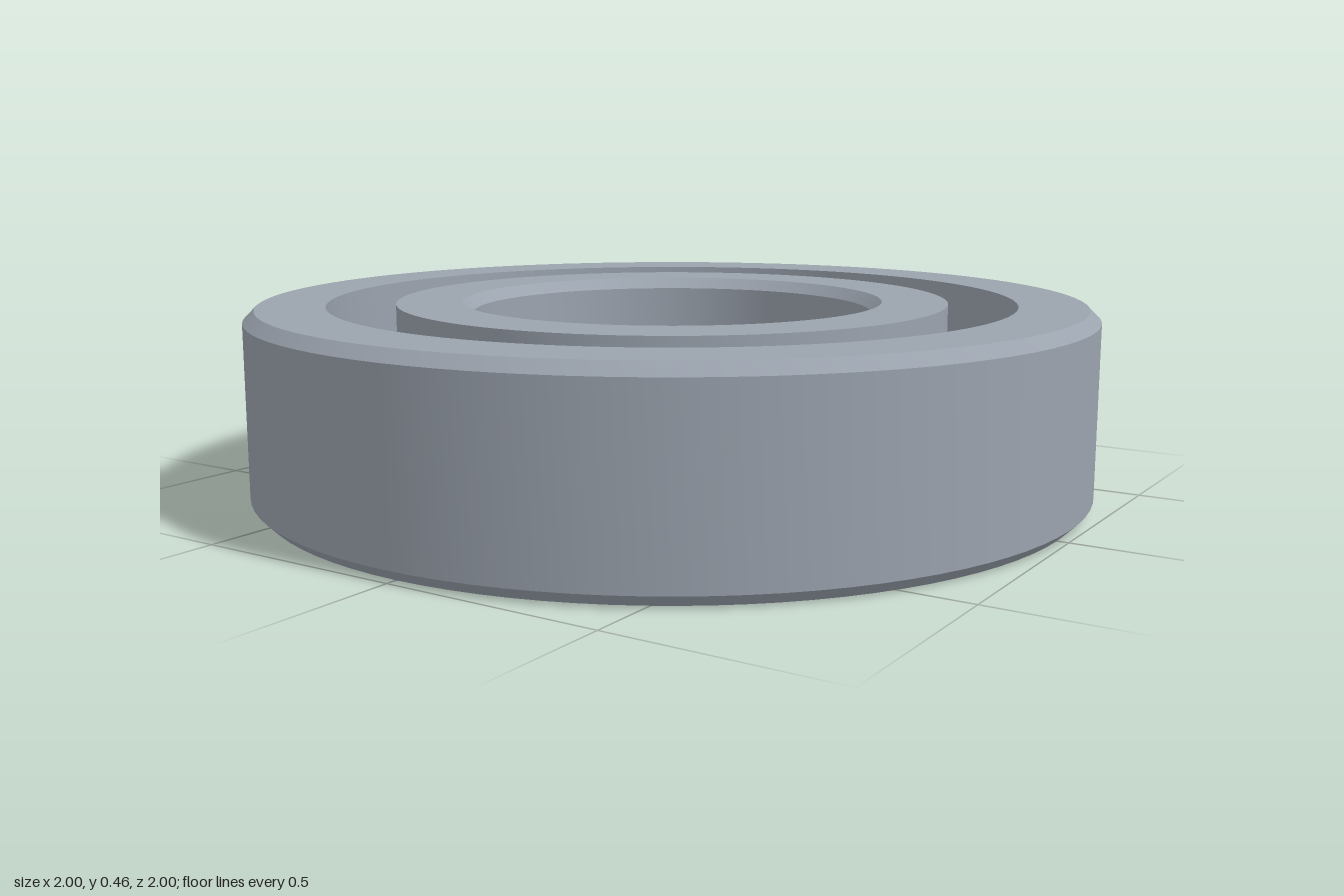
import * as THREE from 'three';
import { toCreasedNormals } from 'three/addons/utils/BufferGeometryUtils.js';

const HEIGHT = 0.455, MID = HEIGHT / 2;
const CHAMFER = 0.026;
const PITCH = 0.735;          // radius of the ball circle
const BALL = 0.125, GROOVE = 0.127;
const BALL_COUNT = 13;

// Ring with chamfers on its plain wall and a ball groove in its other wall.
// side = 1: plain wall faces outward; side = -1: plain wall faces the bore.
function ringGeometry(plainR, landR, side) {
  const c = CHAMFER, pts = [];
  // plain wall, bottom to top
  pts.push([plainR - side * c, 0], [plainR, c], [plainR, HEIGHT - c], [plainR - side * c, HEIGHT]);
  // grooved wall, top to bottom
  pts.push([landR, HEIGHT]);
  const half = Math.acos(Math.abs(landR - PITCH) / GROOVE);
  const steps = 10;
  for (let i = 0; i <= steps; i++) {
    const a = half - (2 * half * i) / steps;
    pts.push([PITCH + side * GROOVE * Math.cos(a), MID + GROOVE * Math.sin(a)]);
  }
  pts.push([landR, 0], pts[0]);
  // keep the profile counter-clockwise so that faces point outward
  if (side < 0) pts.reverse();
  const profile = pts.map(([r, y]) => new THREE.Vector2(r, y));
  return toCreasedNormals(new THREE.LatheGeometry(profile, 96), 0.5);
}

export function createModel() {
  const model = new THREE.Group();
  model.name = 'ballBearing';
  const steel = new THREE.MeshStandardMaterial({ color: 0x9ba3ae });
  steel.name = 'steel';

  const add = (name, geometry, parent = model) => {
    const mesh = new THREE.Mesh(geometry, steel);
    mesh.name = name;
    parent.add(mesh);
    return mesh;
  };

  // Races
  add('outerRing', ringGeometry(1, 0.815, 1));
  add('innerRing', ringGeometry(0.475, 0.655, -1));

  // Balls, evenly spaced between the races
  const balls = new THREE.Group();
  balls.name = 'balls';
  model.add(balls);
  const ballGeometry = new THREE.SphereGeometry(BALL, 40, 24);
  const start = THREE.MathUtils.degToRad(12.2);
  for (let i = 0; i < BALL_COUNT; i++) {
    const a = start + (i * 2 * Math.PI) / BALL_COUNT;
    add(`ball${i + 1}`, ballGeometry, balls).position.set(PITCH * Math.cos(a), MID, PITCH * Math.sin(a));
  }
  return model;
}
